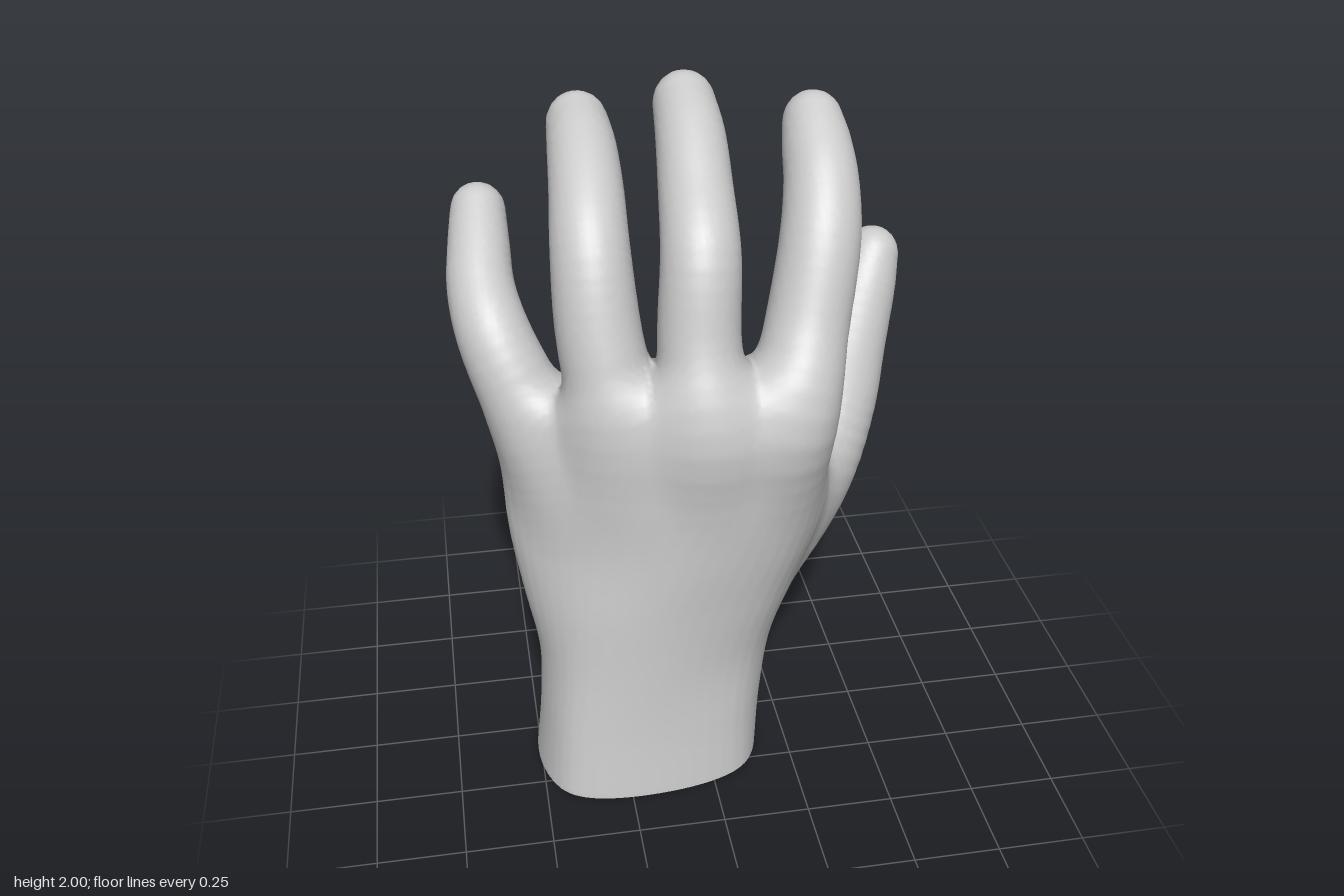
import * as THREE from 'three';

const material = new THREE.MeshStandardMaterial({ color: 0xcccccc, side: THREE.DoubleSide });
const V = (x, y, z) => new THREE.Vector3(x, y, z);

// Wrist and palm sections every 0.2 up, as (x, z) from the thumb edge along the
// palm, round the outer edge and back over the knuckle side
const sections = [
  [[.165, .08], [.085, -.115], [-.17, -.185], [-.435, -.115], [-.51, .1], [-.435, .315], [-.17, .36], [.1, .28]],
  [[.185, .07], [.09, -.125], [-.16, -.16], [-.42, -.09], [-.49, .1], [-.42, .295], [-.16, .345], [.1, .27]],
  [[.225, .04], [.11, -.155], [-.15, -.155], [-.41, -.08], [-.485, .1], [-.4, .28], [-.15, .34], [.125, .255]],
  [[.32, -.01], [.17, -.25], [-.12, -.2], [-.41, -.15], [-.52, .08], [-.39, .27], [-.12, .345], [.18, .265]],
  [[.38, 0], [.2, -.28], [-.12, -.175], [-.43, -.185], [-.55, .05], [-.385, .25], [-.05, .36], [.25, .275]],
  [[.36, .08], [.2, -.15], [-.15, -.09], [-.45, -.145], [-.555, .02], [-.355, .265], [.03, .375], [.28, .295]],
  [[.33, .18], [.2, .04], [-.15, 0], [-.46, -.07], [-.545, .01], [-.32, .27], [.06, .385], [.27, .32]],
  [[.31, .19], [.18, .07], [-.12, .04], [-.42, -.03], [-.47, .06], [-.26, .25], [.05, .31], [.23, .27]],
];

// Digit paths of [x, y, z, radius], from roots buried in the palm to the curled tips
const digits = {
  indexFinger: [[.17, .9, .17, .1], [.215, 1.2, .25, .129], [.275, 1.42, .158, .12], [.325, 1.63, .068, .115],
    [.345, 1.75, -.025, .107], [.35, 1.815, -.105, .1], [.352, 1.863, -.168, .088]],
  middleFinger: [[-.02, .9, .2, .1], [-.02, 1.2, .262, .124], [-.025, 1.42, .203, .118], [-.01, 1.635, .138, .112],
    [0, 1.75, .01, .106], [.01, 1.855, -.135, .1], [.012, 1.908, -.248, .091]],
  ringFinger: [[-.22, .9, .14, .1], [-.25, 1.2, .17, .124], [-.282, 1.44, .123, .121], [-.288, 1.635, .05, .112],
    [-.28, 1.745, -.07, .106], [-.275, 1.815, -.2, .1], [-.275, 1.85, -.3, .091]],
  littleFinger: [[-.36, .85, .08, .1], [-.455, 1.12, .05, .12], [-.548, 1.36, -.028, .108], [-.572, 1.46, -.125, .099],
    [-.567, 1.545, -.23, .091], [-.56, 1.61, -.315, .082]],
  thumb: [[.08, .4, 0, .08], [.18, .53, -.08, .135], [.27, .66, -.12, .172], [.36, .82, -.138, .168],
    [.455, 1, -.18, .133], [.497, 1.15, -.235, .124], [.55, 1.3, -.293, .108], [.588, 1.392, -.325, .083]],
};

// Soft union of two distances, rounding the join over a width k
function blend(a, b, k) {
  const h = Math.max(k - Math.abs(a - b), 0) / k;
  return Math.min(a, b) - h * h * k / 4;
}

// Outline of the palm at any height
const columns = sections[0].map((_, c) => new THREE.CatmullRomCurve3(
  sections.map((s, i) => V(s[c][0], i * .2, s[c][1])), false, 'catmullrom'));
function palmOutline(y) {
  const u = THREE.MathUtils.clamp(y / 1.4, 0, 1);
  return new THREE.CatmullRomCurve3(columns.map(c => c.getPoint(u)), true).getPoints(48).slice(0, 48);
}

// Signed distance to the palm: inside its outline, below the sloping line of knuckles
function palmDistance(x, y, z, outline) {
  let best = Infinity, inside = false;
  for (let i = 0, j = outline.length - 1; i < outline.length; j = i++) {
    const a = outline[i], b = outline[j];
    const ex = b.x - a.x, ez = b.z - a.z, px = x - a.x, pz = z - a.z;
    const t = Math.min(1, Math.max(0, (px * ex + pz * ez) / (ex * ex + ez * ez)));
    best = Math.min(best, (px - ex * t) ** 2 + (pz - ez * t) ** 2);
    if ((a.z > z) !== (b.z > z) && px < ex * pz / ez) inside = !inside;
  }
  const wall = Math.sqrt(best) * (inside ? -1 : 1);
  const knuckles = 1.335 + .25 * Math.min(0, x + .12) + .2 * Math.min(0, z - .25);
  return -blend(-wall, knuckles - y, .08);
}

// Smooth chain of [x, y, z, radius] beads along a digit
function beads(path, count = 32) {
  const centre = new THREE.CatmullRomCurve3(path.map(p => V(p[0], p[1], p[2])));
  const size = new THREE.CatmullRomCurve3(path.map((p, i) => V(p[3], i, 0)));
  return Array.from({ length: count + 1 }, (_, i) =>
    [...centre.getPoint(i / count).toArray(), size.getPoint(i / count).x]);
}

// Signed distance to a tapering digit, slightly deeper than it is wide
function digitDistance(x, y, z, chain) {
  let best = Infinity;
  for (let i = 0; i < chain.length - 1; i++) {
    const a = chain[i], b = chain[i + 1];
    const ex = b[0] - a[0], ey = b[1] - a[1], ez = b[2] - a[2];
    const px = x - a[0], py = y - a[1], pz = z - a[2];
    const t = Math.min(1, Math.max(0, (px * ex + py * ey + pz * ez) / (ex * ex + ey * ey + ez * ez)));
    const d = Math.sqrt((1.06 * (px - ex * t)) ** 2 + (py - ey * t) ** 2 + (pz - ez * t) ** 2);
    best = Math.min(best, d - a[3] - (b[3] - a[3]) * t);
  }
  return best;
}

export function createModel() {
  const names = ['palmAndWrist', ...Object.keys(digits)];
  const chains = Object.values(digits).map(p => beads(p));

  // Sample the blended hand on a grid, noting the nearest part at each point
  const h = .0165, origin = [-.72, -h / 2, -.47], size = [87, 125, 56];
  const stride = [1, size[0], size[0] * size[1]];
  const total = size[0] * size[1] * size[2];
  const field = new Float32Array(total), owner = new Uint8Array(total);
  for (let j = 0; j < size[1]; j++) {
    const y = origin[1] + j * h, outline = palmOutline(y);
    for (let k = 0; k < size[2]; k++) {
      for (let i = 0; i < size[0]; i++) {
        const x = origin[0] + i * h, z = origin[2] + k * h;
        const palm = palmDistance(x, y, z, outline);
        const [index, middle, ring, little, thumb] = chains.map(c => digitDistance(x, y, z, c));
        const fingers = [middle, ring, little].reduce((a, b) => blend(a, b, .02), index);
        const at = i + j * stride[1] + k * stride[2];
        field[at] = blend(blend(palm, fingers, .08), thumb, .1);
        const parts = [palm, index, middle, ring, little, thumb];
        owner[at] = parts.indexOf(Math.min(...parts));
      }
    }
  }

  // One skin point in every grid cell the surface crosses, its normal along the slope of the field
  const positions = [], normals = [], pointOf = new Int32Array(total).fill(-1);
  const corners = [0, 1, 2, 3, 4, 5, 6, 7].map(c => [c & 1, c >> 1 & 1, c >> 2]);
  const offset = c => c[0] * stride[0] + c[1] * stride[1] + c[2] * stride[2];
  const eachCell = visit => {
    for (let k = 0; k < size[2] - 1; k++)
      for (let j = 0; j < size[1] - 1; j++)
        for (let i = 0; i < size[0] - 1; i++) visit([i, j, k], offset([i, j, k]));
  };
  eachCell((cell, at) => {
    const sum = [0, 0, 0], slope = V(0, 0, 0);
    let crossings = 0;
    corners.forEach((corner, c) => {
      const a = field[at + offset(corner)];
      slope.addScaledVector(V(...corner).subScalar(.5), a);
      for (let axis = 0; axis < 3; axis++) {
        if (c >> axis & 1) continue;
        const b = field[at + offset(corner) + stride[axis]];
        if ((a < 0) === (b < 0)) continue;
        crossings++;
        for (let n = 0; n < 3; n++) sum[n] += corner[n] + (n === axis ? a / (a - b) : 0);
      }
    });
    if (!crossings) return;
    pointOf[at] = positions.length / 3;
    const p = sum.map((s, n) => origin[n] + h * (cell[n] + s / crossings));
    if (cell[1] === 0) p[1] = 0; // level rim of the open wrist
    positions.push(...p);
    normals.push(...slope.normalize().toArray());
  });

  // Join neighbouring points, sorting the faces by part
  const faces = names.map(() => []);
  eachCell((cell, at) => {
    for (let axis = 0; axis < 3; axis++) {
      const b = (axis + 1) % 3, c = (axis + 2) % 3;
      const inside = field[at] < 0;
      if (!cell[b] || !cell[c] || inside === (field[at + stride[axis]] < 0)) continue;
      const quad = [at - stride[b] - stride[c], at - stride[c], at, at - stride[b]].map(q => pointOf[q]);
      if (!inside) quad.reverse();
      faces[owner[at]].push(quad[0], quad[1], quad[2], quad[0], quad[2], quad[3]);
    }
  });

  // Parts share points and normals, so the shading runs on without seams
  const skin = new THREE.BufferGeometry();
  skin.setAttribute('position', new THREE.Float32BufferAttribute(positions, 3));
  skin.setAttribute('normal', new THREE.Float32BufferAttribute(normals, 3));

  const hand = new THREE.Group();
  hand.name = 'hand';
  names.forEach((name, i) => {
    const mesh = new THREE.Mesh(skin.clone().setIndex(faces[i]), material);
    mesh.name = name;
    hand.add(mesh);
  });
  return hand;
}
